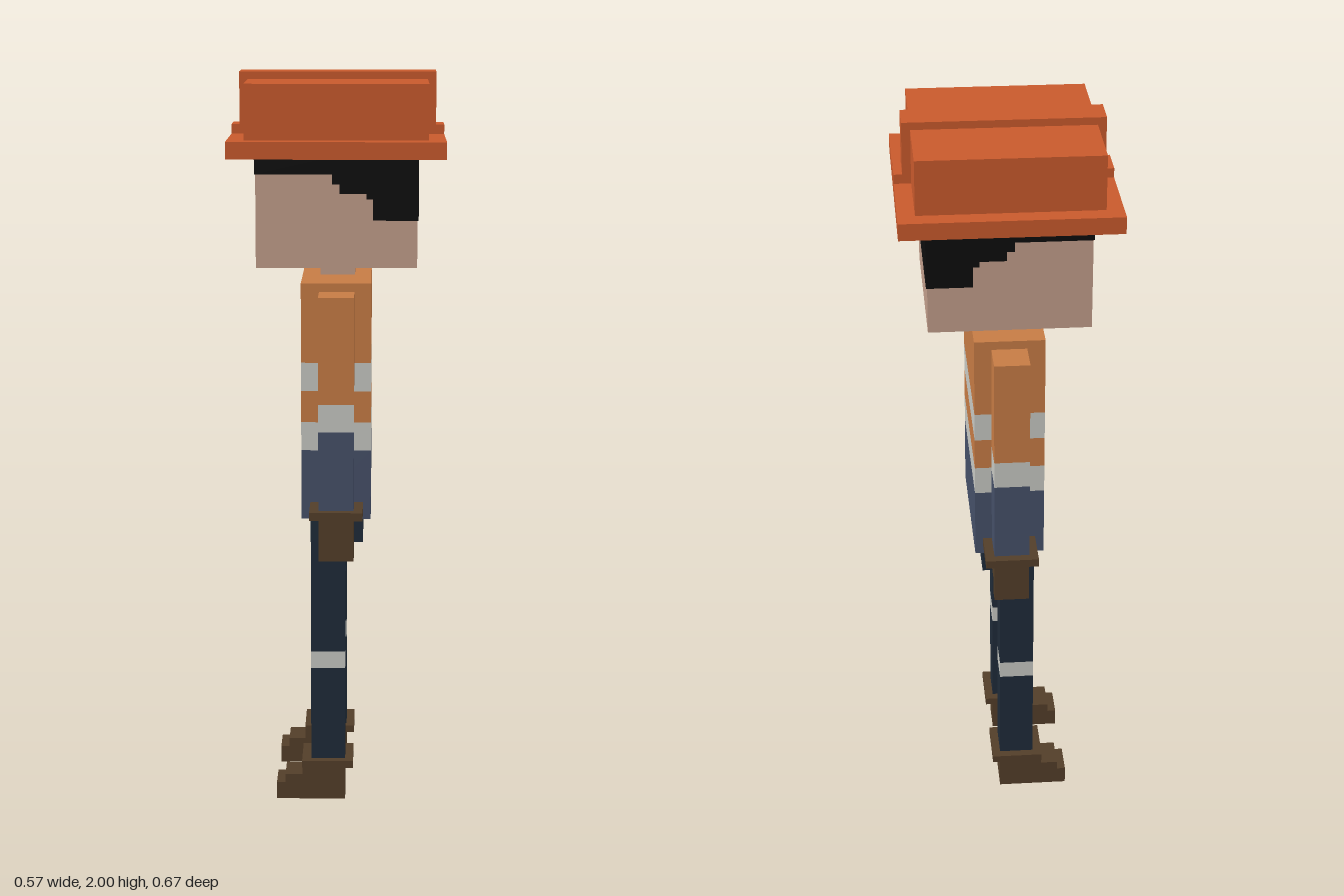
import * as THREE from 'three';

const mat = (name, color) => {
  const m = new THREE.MeshStandardMaterial({ color });
  m.name = name;
  return m;
};

export function createModel() {
  const helmetOrange = mat('helmet orange', 0xc95a2c);
  const vestOrange = mat('vest orange', 0xc77c45);
  const reflective = mat('reflective grey', 0xc8c9c3);
  const shirtBlue = mat('shirt blue', 0x465069);
  const navy = mat('trouser navy', 0x1f2b39);
  const skin = mat('skin', 0xc29e8b);
  const black = mat('hair black', 0x0d0d0d);
  const brown = mat('leather brown', 0x533e29);
  const badgeBrown = mat('badge brown', 0x9c4c26);

  const model = new THREE.Group();
  model.name = 'worker';

  const group = (name) => {
    const g = new THREE.Group();
    g.name = name;
    model.add(g);
    return g;
  };

  // Box given by its extents along each axis
  const box = (parent, name, material, [x0, x1], [y0, y1], [z0, z1]) => {
    const mesh = new THREE.Mesh(new THREE.BoxGeometry(x1 - x0, y1 - y0, z1 - z0), material);
    mesh.position.set((x0 + x1) / 2, (y0 + y1) / 2, (z0 + z1) / 2);
    mesh.name = name;
    parent.add(mesh);
  };

  // Stack of coloured bands, from the bottom up
  const bands = (parent, name, x, z, levels, materials) =>
    materials.forEach((m, i) => box(parent, `${name}Band${i + 1}`, m, x, [levels[i], levels[i + 1]], z));

  // Extent along z, mirrored for side -1
  const side = (s, a, b) => (s > 0 ? [a, b] : [-b, -a]);

  // Helmet: brim, crown and the ridge running from front to back
  const helmet = group('helmet');
  box(helmet, 'brim', helmetOrange, [-0.285, 0.285], [1.79, 1.835], [-0.31, 0.31]);
  box(helmet, 'crown', helmetOrange, [-0.24, 0.24], [1.835, 1.98], [-0.26, 0.26]);
  box(helmet, 'ridge', helmetOrange, [-0.263, 0.263], [1.835, 2.0], [-0.047, 0.047]);
  box(helmet, 'ridgeBase', helmetOrange, [-0.285, 0.285], [1.835, 1.86], [-0.047, 0.047]);

  // Head and neck; the face looks towards -x
  const head = group('head');
  const hx = 0.212, hz = 0.237, t = 0.003;
  box(head, 'skull', skin, [-hx, hx], [1.5, 1.79], [-hz, hz]);
  box(head, 'neck', skin, [-0.047, 0.047], [1.45, 1.5], [-0.047, 0.047]);
  box(head, 'backHair', black, [hx, hx + t], [1.625, 1.79], [-hz - t, hz + t]);
  box(head, 'fringe', black, [-hx - t, -hx], [1.745, 1.79], [-hz - t, hz + t]);

  // Stepped side hair: start x and lower edge of each step
  const steps = [[-hx, 1.745], [-0.012, 1.72], [0.008, 1.695], [0.078, 1.68], [0.095, 1.625], [hx]];
  for (const s of [1, -1]) {
    for (let i = 0; i < steps.length - 1; i++) {
      box(head, 'sideHair', black, [steps[i][0], steps[i + 1][0]], [steps[i][1], 1.79], side(s, hz, hz + t));
    }
    // Eyes with notched corners
    box(head, 'eye', black, [-hx - t, -hx], [1.6, 1.68], side(s, 0.11, 0.15));
    box(head, 'eyeMiddle', black, [-hx - t, -hx], [1.612, 1.668], side(s, 0.098, 0.162));
  }

  // Torso with reflective stripes and a chest badge
  const torso = group('torso');
  bands(torso, 'torso', [-0.095, 0.092], [-0.213, 0.213],
    [0.813, 1.003, 1.08, 1.165, 1.242, 1.455],
    [shirtBlue, reflective, vestOrange, reflective, vestOrange]);
  box(torso, 'badge', badgeBrown, [-0.098, -0.095], [1.287, 1.307], [0.085, 0.115]);
  box(torso, 'hips', navy, [-0.071, 0.071], [0.742, 0.813], [-0.19, 0.19]);

  for (const s of [1, -1]) {
    const label = s > 0 ? 'near' : 'far';

    // Arm, glove cuff and stepped glove
    const arm = group(`${label}Arm`);
    bands(arm, 'sleeve', [-0.047, 0.047], side(s, 0.213, 0.309),
      [0.86, 1.073, 1.147, 1.432], [shirtBlue, reflective, vestOrange]);
    box(arm, 'gloveCuff', brown, [-0.071, 0.071], [0.838, 0.86], side(s, 0.19, 0.334));
    box(arm, 'glovePalm', brown, [-0.047, 0.047], [0.767, 0.838], side(s, 0.215, 0.309));
    box(arm, 'gloveFingers', brown, [-0.047, 0.047], [0.72, 0.767], side(s, 0.263, 0.309));

    // Leg with reflective band
    const leg = group(`${label}Leg`);
    bands(leg, 'trouser', [-0.071, 0.023], side(s, 0.096, 0.19),
      [0.12, 0.382, 0.43, 0.742], [navy, reflective, navy]);

    // Boot with cuff and stepped toe
    const boot = group(`${label}Boot`);
    box(boot, 'bootCuff', brown, [-0.096, 0.045], [0.1, 0.12], side(s, 0.072, 0.214));
    box(boot, 'bootAnkle', brown, [-0.096, 0.023], [0, 0.1], side(s, 0.096, 0.19));
    box(boot, 'bootInstep', brown, [-0.143, -0.096], [0, 0.072], side(s, 0.096, 0.19));
    box(boot, 'bootToe', brown, [-0.167, -0.143], [0, 0.048], side(s, 0.096, 0.19));
  }

  return model;
}
